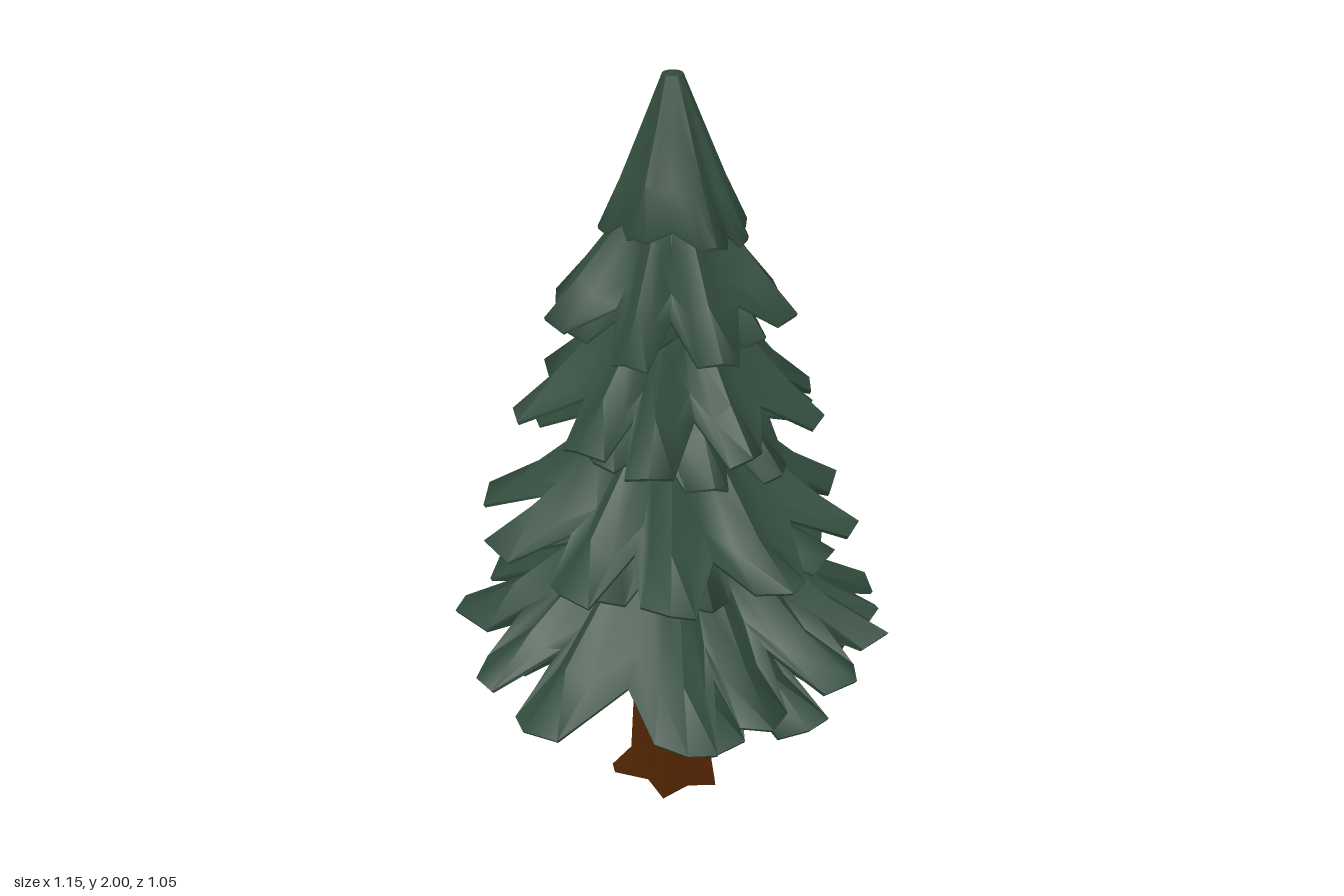
import * as THREE from 'three';
import { toCreasedNormals } from 'three/addons/utils/BufferGeometryUtils.js';

const needles = new THREE.MeshStandardMaterial({ color: 0x314b3c });
needles.name = 'needle green';
const bark = new THREE.MeshStandardMaterial({ color: 0x522502 });
bark.name = 'bark brown';
const innerWood = new THREE.MeshStandardMaterial({ color: 0x3c2920 });
innerWood.name = 'inner branch brown';

let seed = 11;
const rand = () => (seed = (seed * 16807) % 2147483647) / 2147483647;
const jitter = (a) => (rand() * 2 - 1) * a;
const RAD = Math.PI / 180;

// Skin a stack of closed rings (top to bottom), capping both ends
function loft(rings, crease) {
  const n = rings[0].length;
  const pos = rings.flat(2);
  const index = [];
  for (let r = 0; r < rings.length - 1; r++) {
    for (let c = 0; c < n; c++) {
      const a = r * n + c, b = r * n + (c + 1) % n;
      index.push(a, b, a + n, b, b + n, a + n);
    }
  }
  const centre = (ring) => [0, 1, 2].map((k) => ring.reduce((s, p) => s + p[k], 0) / n);
  const top = pos.length / 3, end = (rings.length - 1) * n;
  pos.push(...centre(rings[0]), ...centre(rings[rings.length - 1]));
  for (let c = 0; c < n; c++) {
    const d = (c + 1) % n;
    index.push(top, d, c, top + 1, end + c, end + d);
  }
  const g = new THREE.BufferGeometry();
  g.setAttribute('position', new THREE.Float32BufferAttribute(pos, 3));
  g.setIndex(index);
  return toCreasedNormals(g, crease);
}

// A ragged skirt of blunt boughs; each tip is [degrees, radius, height]
function skirt({ tips, topY, topR, power = 1.6, valley = 0.66, valleyLift = 0.06, fold = 0.025 }) {
  const cols = [];
  tips.forEach(([deg, R, y], i) => {
    const next = tips[(i + 1) % tips.length];
    const gap = (next[0] - deg + 360) % 360;
    const w = Math.min(9, gap * 0.32);
    cols.push({ a: deg - w, R: R * (0.93 + jitter(0.07)), y: y - fold * 0.6, lift: 0 });
    cols.push({ a: deg + jitter(3), R, y, lift: fold });
    cols.push({ a: deg + w, R: R * (0.93 + jitter(0.07)), y: y - fold * 0.6, lift: 0 });
    cols.push({ a: deg + gap / 2 + jitter(2), R: (R + next[1]) / 2 * (valley + jitter(0.06)),
      y: (y + next[2]) / 2 + valleyLift, lift: -fold * 0.6 });
  });
  const at = (c, r, y) => [r * Math.cos(c.a * RAD), y, r * Math.sin(c.a * RAD)];
  const rings = [0, 0.3, 0.65, 1].map((t) => cols.map((c) => at(c,
    topR + (c.R - topR) * t,
    c.y + (topY - c.y) * Math.pow(1 - t, power) + c.lift * Math.sin(Math.PI * t))));
  // thin bough ends, then the underside running in to the trunk
  rings.push(cols.map((c) => at(c, c.R * 0.99, c.y - 0.008)));
  rings.push(cols.map((c) => at(c, Math.min(topR, 0.1), c.y + 0.09)));
  return loft(rings, 1.2);
}

// Evenly spread boughs with some irregularity
function spread(count, start, R, y, wobble = 0.06) {
  return Array.from({ length: count }, (_, i) => [
    start + i * 360 / count + jitter(80 / count), R * (1 + jitter(wobble)), y + jitter(0.03)]);
}

export function createModel() {
  const tree = new THREE.Group();
  tree.name = 'pineTree';
  const add = (name, geometry, material) => {
    const mesh = new THREE.Mesh(geometry, material);
    mesh.name = name;
    tree.add(mesh);
  };

  // Trunk: ridged column flaring into short roots
  const trunkRing = (y, r, ridge, root, shift) => Array.from({ length: 10 }, (_, i) => {
    const a = i * Math.PI / 5 + 0.35;
    const rr = (r + (i % 2 ? -ridge : ridge)) + (i === 4 ? root : 0);
    return [rr * Math.cos(a) + shift, y + (i % 2 ? root * 0.4 : 0), rr * Math.sin(a) + shift];
  });
  add('trunk', loft([trunkRing(0.64, 0.082, 0.005, 0, -0.01), trunkRing(0.3, 0.097, 0.008, 0, 0),
    trunkRing(0.08, 0.11, 0.01, 0, 0.005), trunkRing(0.03, 0.113, 0.015, 0.045, 0.006),
    trunkRing(0, 0.114, 0.018, 0.035, 0.006)], 0.9), bark);

  // Woody core with collars glimpsed between the tiers
  const core = [[0.08, 0.49], [0.21, 0.5], [0.18, 0.6], [0.16, 0.7], [0.2, 0.75], [0.205, 0.81], [0.13, 0.9],
    [0.12, 1.01], [0.155, 1.05], [0.16, 1.12], [0.1, 1.2], [0.09, 1.32], [0.125, 1.37], [0.125, 1.42],
    [0.06, 1.55], [0, 1.6]];
  add('branchCore', new THREE.LatheGeometry(core.map(([r, y]) => new THREE.Vector2(r, y)), 12), innerWood);

  // Lowest tier, wide boughs held higher at the sides
  const lowest = [[0, 0.575], [22, 0.56], [49, 0.53], [75, 0.53], [118, 0.58], [143, 0.57], [169, 0.58],
    [198, 0.57], [230, 0.53], [257, 0.54], [297, 0.56], [326, 0.58], [347, 0.55]]
    .map(([a, r]) => [a, r, 0.44 + 0.09 * Math.cos(a * RAD) ** 2]);
  add('tier1Upper', skirt({ tips: lowest, topY: 0.88, topR: 0.12, valleyLift: 0.08 }), needles);
  const lower = [12, 36, 64, 128, 156, 186, 215, 244, 282, 312, 336]
    .map((a) => [a, 0.49 + jitter(0.03), 0.425 + jitter(0.025)]);
  add('tier1Lower', skirt({ tips: lower, topY: 0.8, topR: 0.1, valleyLift: 0.09 }), needles);

  // Second tier
  add('tier2Upper', skirt({ tips: spread(10, 4, 0.475, 0.84), topY: 1.18, topR: 0.1 }), needles);
  add('tier2Lower', skirt({ tips: spread(8, 22, 0.42, 0.785), topY: 1.1, topR: 0.09 }), needles);

  // Third tier
  add('tier3Upper', skirt({ tips: spread(9, 0, 0.39, 1.15), topY: 1.48, topR: 0.085, power: 1.4 }), needles);
  add('tier3Lower', skirt({ tips: spread(7, 20, 0.36, 1.11), topY: 1.42, topR: 0.08, power: 1.4, valleyLift: 0.05 }), needles);

  // Fourth tier
  add('tier4Upper', skirt({ tips: spread(8, 8, 0.31, 1.42), topY: 1.72, topR: 0.07, power: 1.3 }), needles);
  add('tier4Lower', skirt({ tips: spread(6, 30, 0.27, 1.4), topY: 1.66, topR: 0.06, power: 1.3, valleyLift: 0.05 }), needles);

  // Crown
  const crown = [[15, 0.2], [48, 0.21], [110, 0.17], [165, 0.18], [212, 0.21], [245, 0.2], [290, 0.24], [340, 0.18]]
    .map(([a, r]) => [a, r, 1.64 + jitter(0.015)]);
  add('crown', skirt({ tips: crown, topY: 2, topR: 0.025, power: 1.2, valley: 0.8, valleyLift: 0.02, fold: 0.015 }), needles);
  return tree;
}
